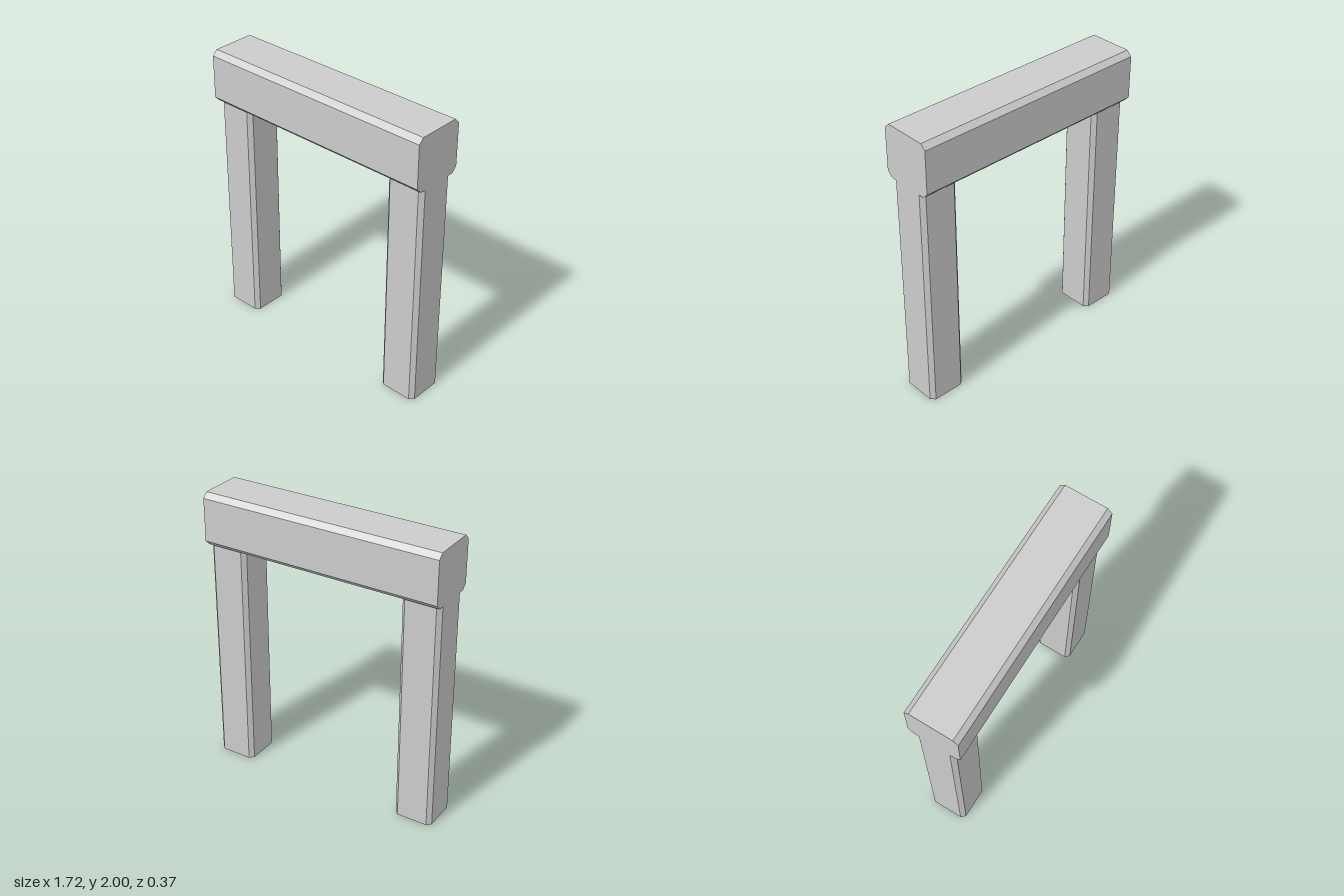
import * as THREE from 'three';

const material = new THREE.MeshStandardMaterial({ color: 0xcccccc, flatShading: true });

// Square bar with chamfered long edges, centred and running along z
function chamferedBar(width, height, chamfer, length) {
  const w = width / 2, h = height / 2, c = chamfer;
  const section = new THREE.Shape([
    [w - c, -h], [w, -h + c], [w, h - c], [w - c, h],
    [-w + c, h], [-w, h - c], [-w, -h + c], [-w + c, -h],
  ].map(([x, y]) => new THREE.Vector2(x, y)));
  return new THREE.ExtrudeGeometry(section, { depth: length, bevelEnabled: false })
    .translate(0, 0, -length / 2);
}

export function createModel() {
  const group = new THREE.Group();
  group.name = 'postAndBeamFrame';

  // Horizontal beam across the top
  const beam = new THREE.Mesh(chamferedBar(0.37, 0.37, 0.035, 1.72).rotateY(Math.PI / 2), material);
  beam.name = 'beam';
  beam.position.y = 1.815;
  group.add(beam);

  // Upright posts, flush with the beam ends
  const postGeometry = chamferedBar(0.274, 0.274, 0.028, 1.63).rotateX(-Math.PI / 2);
  for (const side of [1, -1]) {
    const post = new THREE.Mesh(postGeometry, material);
    post.name = side > 0 ? 'leftPost' : 'rightPost';
    post.position.set(side * 0.723, 0.815, 0);
    group.add(post);
  }
  return group;
}
